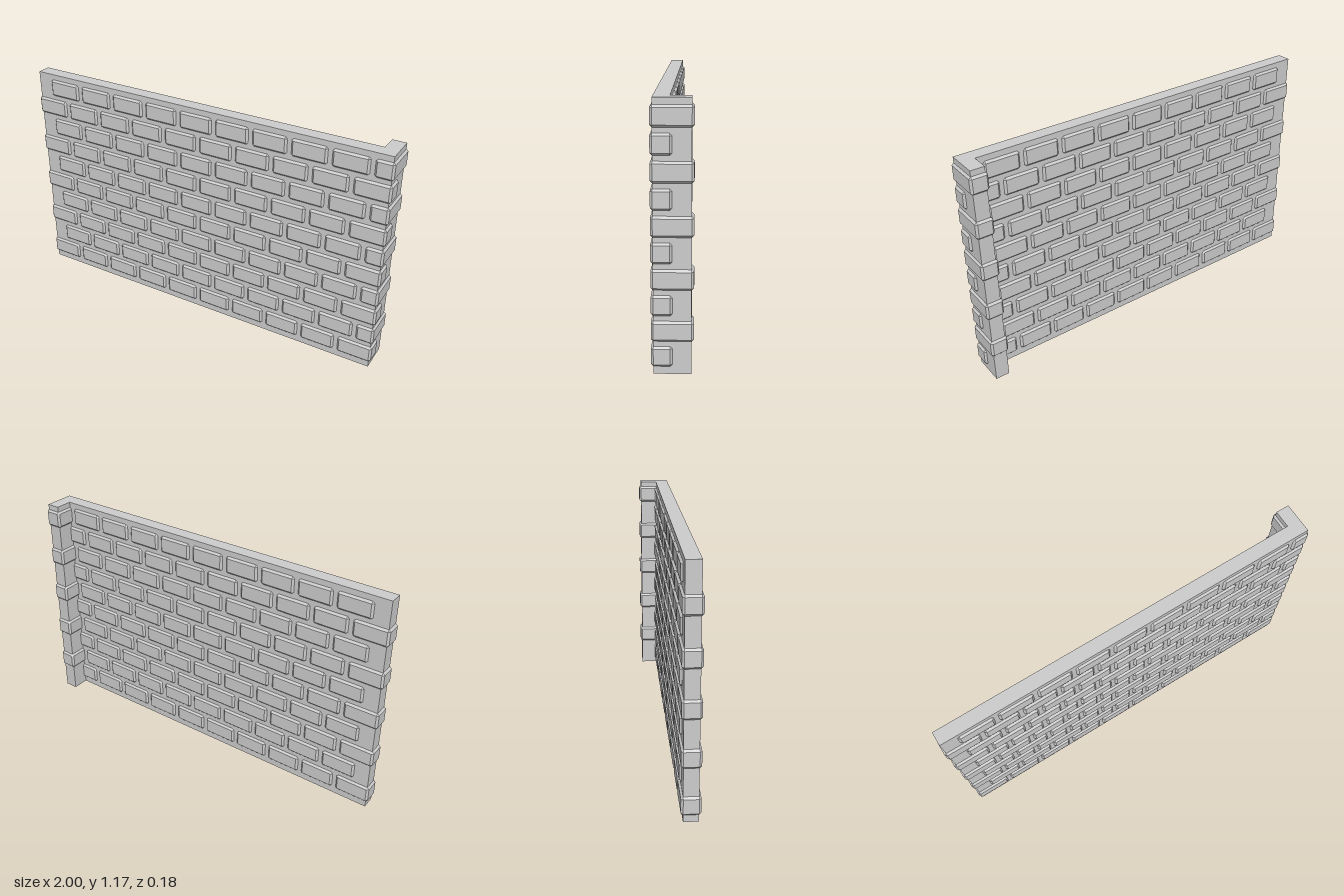
import * as THREE from 'three';
import { ConvexGeometry } from 'three/addons/geometries/ConvexGeometry.js';

const material = new THREE.MeshStandardMaterial({ color: 0xcccccc, flatShading: true });

// Box with every edge and corner chamfered
function chamferedBox(w, h, d, c) {
  const points = [];
  for (const sx of [-1, 1]) for (const sy of [-1, 1]) for (const sz of [-1, 1]) {
    for (let axis = 0; axis < 3; axis++) {
      const inset = [0, 1, 2].map((i) => (i === axis ? 0 : c));
      points.push(new THREE.Vector3(
        sx * (w / 2 - inset[0]), sy * (h / 2 - inset[1]), sz * (d / 2 - inset[2])));
    }
  }
  return new ConvexGeometry(points);
}

export function createModel() {
  const model = new THREE.Group();
  model.name = 'brickWall';

  // L-shaped mortar core, drawn in plan and raised to wall height
  const plan = new THREE.Shape([
    [-0.99, -0.08], [0.99, -0.08], [0.99, 0.08], [0.92, 0.08], [0.92, -0.01], [-0.99, -0.01],
  ].map(([x, y]) => new THREE.Vector2(x, y)));
  const mortarGeometry = new THREE.ExtrudeGeometry(plan, { depth: 1.17, bevelEnabled: false });
  mortarGeometry.rotateX(-Math.PI / 2);
  const mortar = new THREE.Mesh(mortarGeometry, material);
  mortar.name = 'mortar';
  model.add(mortar);

  // Brick courses in running bond
  const length = 0.18, size = 0.09, pitch = 1.82 / 9;
  const brickGeometry = chamferedBox(length, size, size, 0.01);
  const cornerGeometry = chamferedBox(size, size, length, 0.01);

  for (let row = 0; row < 10; row++) {
    const course = new THREE.Group();
    course.name = 'brickCourse';
    course.position.y = 0.079 + row * 0.113;
    const shifted = row % 2 === 1;
    const start = shifted ? -0.82 : -0.91;
    for (let i = 0; i < (shifted ? 9 : 10); i++) {
      const brick = new THREE.Mesh(brickGeometry, material);
      brick.name = 'brick';
      brick.position.set(start + i * pitch, 0, 0.045);
      course.add(brick);
    }
    // Shifted courses turn the corner with a brick laid along z
    if (shifted) {
      const corner = new THREE.Mesh(cornerGeometry, material);
      corner.name = 'cornerBrick';
      corner.position.x = 0.955;
      course.add(corner);
    }
    model.add(course);
  }
  return model;
}
